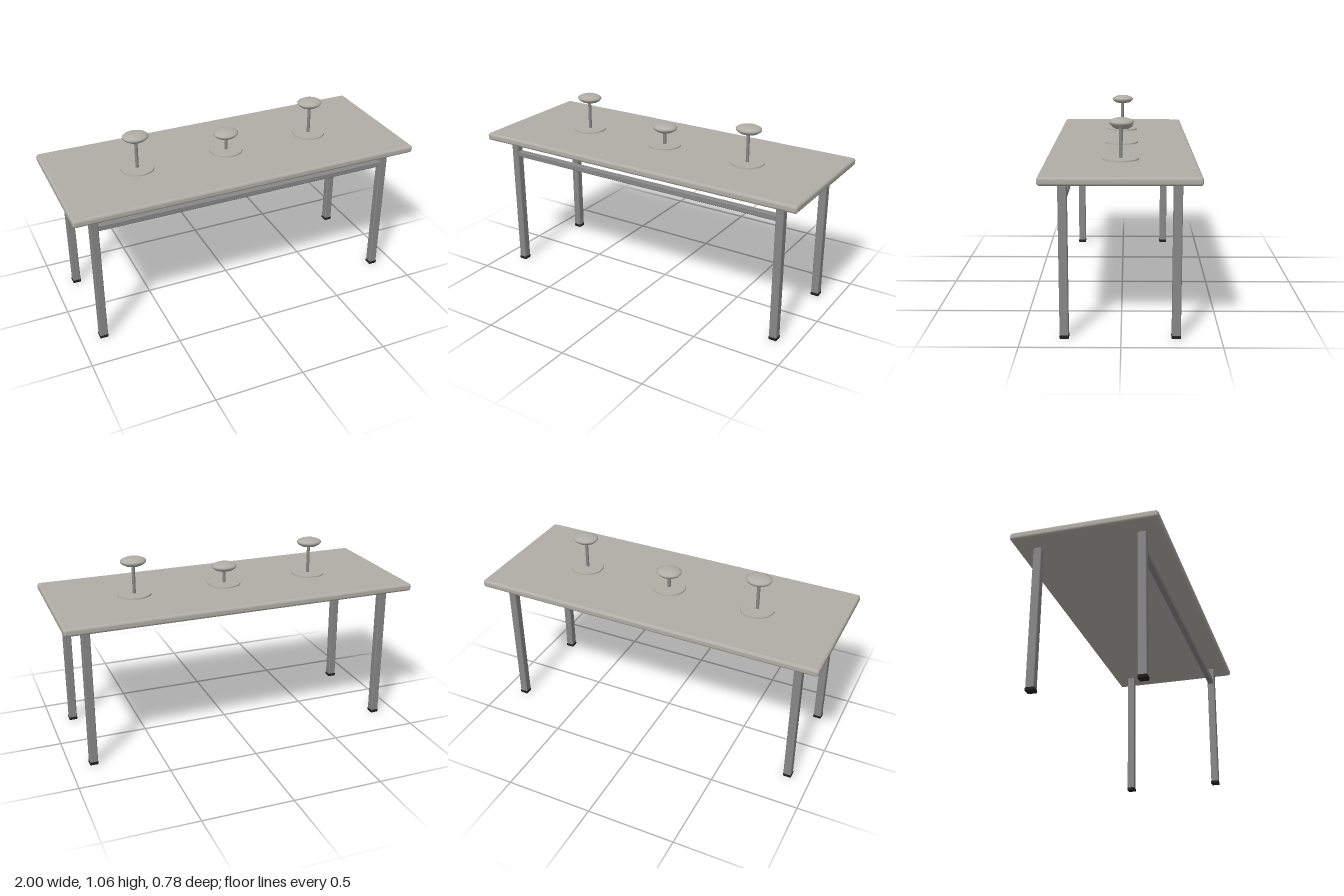
import * as THREE from 'three';
import { RoundedBoxGeometry } from 'three/addons/geometries/RoundedBoxGeometry.js';

const Z = 0.004; // centre line of the table

function material(name, color) {
  const m = new THREE.MeshStandardMaterial({ color });
  m.name = name;
  return m;
}

export function createModel() {
  const group = new THREE.Group();
  const stone = material('warmGrey', 0xb0ada6);
  const steel = material('steelGrey', 0x878787);
  const rubber = material('blackRubber', 0x202020);

  const add = (parent, name, geometry, mat, x, y, z) => {
    const mesh = new THREE.Mesh(geometry, mat);
    mesh.name = name;
    mesh.position.set(x, y, z);
    parent.add(mesh);
    return mesh;
  };

  // Top with rounded edges
  add(group, 'tableTop', new RoundedBoxGeometry(2, 0.043, 0.784, 4, 0.015), stone, 0, 0.8235, Z);

  // Square legs with rubber feet
  for (const x of [-0.872, 0.872]) {
    for (const z of [-0.28, 0.28]) {
      add(group, 'leg', new RoundedBoxGeometry(0.045, 0.79, 0.045, 3, 0.006), steel, x, 0.407, z + Z);
      add(group, 'foot', new RoundedBoxGeometry(0.048, 0.02, 0.048, 2, 0.005), rubber, x, 0.01, z + Z);
    }
  }

  // Rail between the front legs
  add(group, 'frontRail', new RoundedBoxGeometry(1.72, 0.034, 0.034, 3, 0.006), steel, 0, 0.711, 0.28 + Z);

  // Cushion profile: flat base, flared underside, upright rim, domed top
  const padProfile = [
    [0, 0], [0.05, 0], [0.064, 0.009], [0.071, 0.017], [0.072, 0.024],
    [0.066, 0.03], [0.052, 0.037], [0.034, 0.0425], [0, 0.044],
  ].map(([r, y]) => new THREE.Vector2(r, y));

  // Three display stands, the middle one lower
  for (const [x, padY] of [[-0.53, 1.017], [0, 0.929], [0.53, 1.017]]) {
    const stand = new THREE.Group();
    stand.name = 'displayStand';
    stand.position.set(x, 0, Z);
    group.add(stand);
    add(stand, 'standBase', new THREE.CylinderGeometry(0.093, 0.094, 0.009, 48), stone, 0, 0.8485, 0);
    const height = padY + 0.01 - 0.845;
    add(stand, 'post', new THREE.CylinderGeometry(0.009, 0.009, height, 20), steel, 0, 0.845 + height / 2, 0);
    const pad = add(stand, 'pad', new THREE.LatheGeometry(padProfile, 40), stone, 0, padY, -0.003);
    pad.scale.z = 0.89;
  }

  return group;
}
